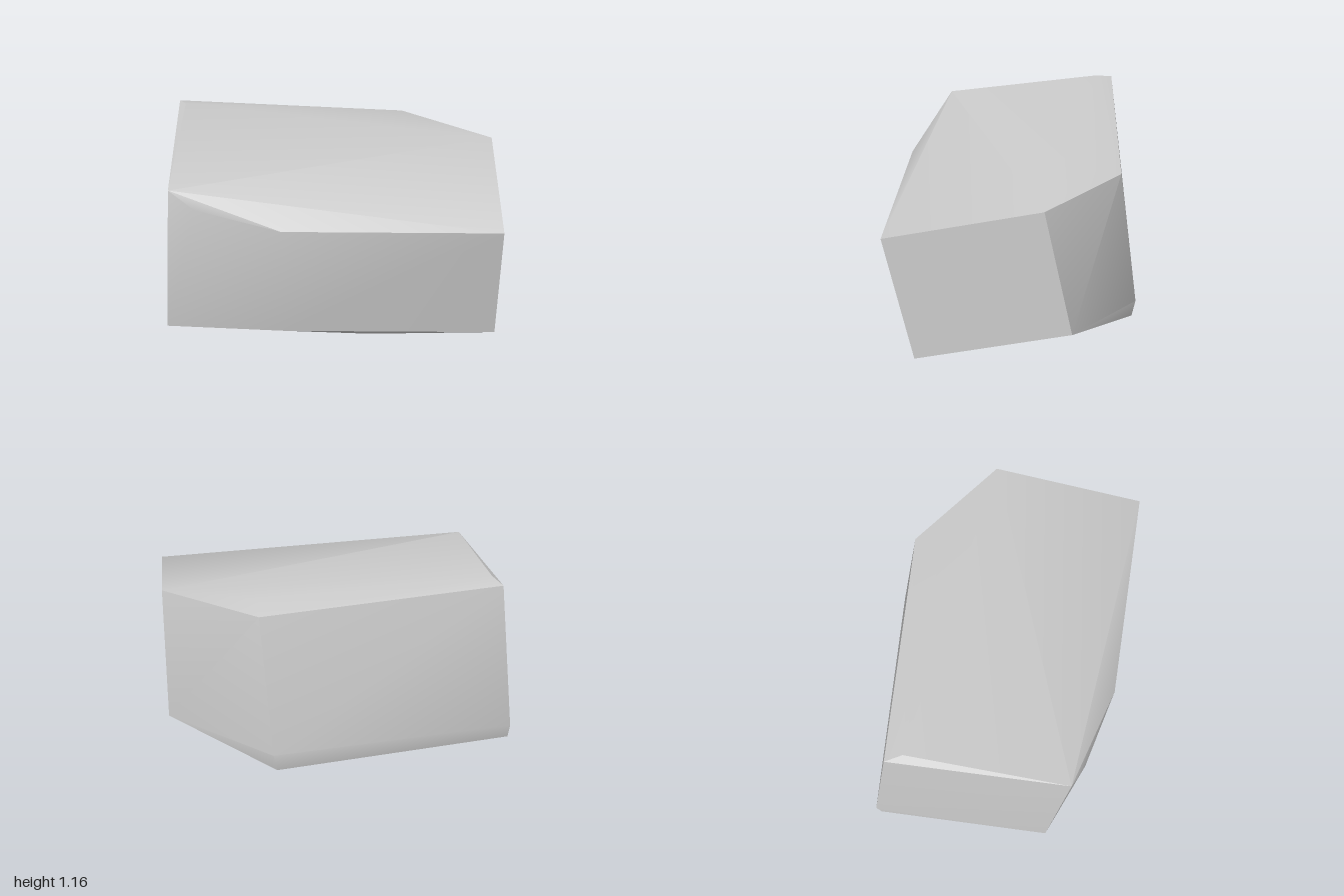
import * as THREE from 'three';
import { ConvexGeometry } from 'three/addons/geometries/ConvexGeometry.js';
import { toCreasedNormals } from 'three/addons/utils/BufferGeometryUtils.js';

export function createModel() {
  const group = new THREE.Group();
  group.name = 'rock';

  // Corners of the chiselled block, as [x, y, z]
  const corners = [
    // left end face (+x)
    [1, 0.88, 0.655], [0.995, 0.15, 0.5], [0.96, 0.33, -0.365], [0.965, 1.06, -0.21],
    // back top edge, with its bevel
    [0.43, 1.06, -0.59], [0.43, 1.09, -0.43], [-0.93, 1.145, -0.475], [-0.88, 1.165, -0.38],
    // back bottom edge, with its bevel
    [0.37, 0.235, -0.695], [0.35, 0.125, -0.675], [-1, 0.3, -0.575], [-0.995, 0.21, -0.55],
    // underside ridge
    [0.42, 0, 0.24], [0.27, 0.012, 0.34],
    // front crease
    [-0.215, 0.875, 0.695], [-0.215, 0.145, 0.545],
    // right front corner (-x)
    [-0.85, 1.035, 0.545], [-0.7, 0.945, 0.6], [-0.92, 0.09, 0.44],
  ].map((p) => new THREE.Vector3(...p));

  // Shallow edges are softened, strong ones stay sharp
  const geometry = toCreasedNormals(new ConvexGeometry(corners), THREE.MathUtils.degToRad(35));
  const stone = new THREE.Mesh(geometry, new THREE.MeshStandardMaterial({ color: 0xcccccc }));
  stone.name = 'stoneBlock';
  group.add(stone);
  return group;
}
